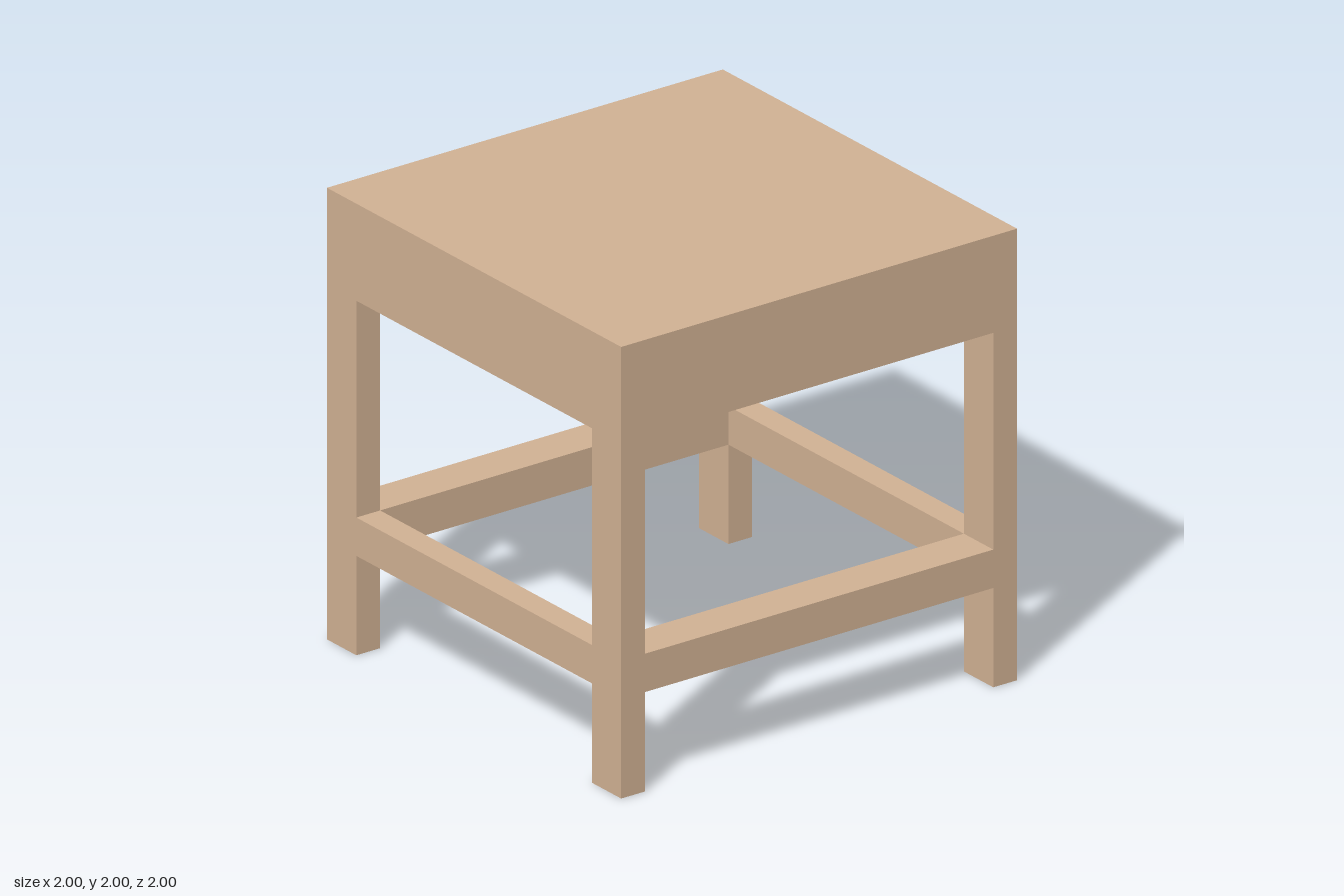
import * as THREE from 'three';

const LEG_X = 0.12, LEG_Z = 0.2;           // leg section
const SEAT_Y = 1.57, TOP_Y = 2;            // seat block underside and top
const RAIL_LOW = 0.44, RAIL_HIGH = 0.61;   // stretcher rails

export function createModel() {
  const stool = new THREE.Group();
  stool.name = 'stool';
  const wood = new THREE.MeshStandardMaterial({ color: 0xd2b294 });

  // box standing on y0 and reaching y1, centred on (x, z)
  const addBox = (name, w, d, y0, y1, x, z) => {
    const mesh = new THREE.Mesh(new THREE.BoxGeometry(w, y1 - y0, d), wood);
    mesh.name = name;
    mesh.position.set(x, (y0 + y1) / 2, z);
    stool.add(mesh);
  };

  // thick solid seat
  addBox('seat', 2, 2, SEAT_Y, TOP_Y, 0, 0);

  const legX = 1 - LEG_X / 2, legZ = 1 - LEG_Z / 2;

  // four corner legs
  for (const [side, sx] of [['Left', 1], ['Right', -1]])
    for (const [end, sz] of [['front', 1], ['back', -1]])
      addBox(`${end}${side}Leg`, LEG_X, LEG_Z, 0, SEAT_Y, sx * legX, sz * legZ);

  // rails between the legs, flush with their outer and inner faces
  for (const [end, sz] of [['front', 1], ['back', -1]])
    addBox(`${end}Rail`, 2 - 2 * LEG_X, LEG_Z, RAIL_LOW, RAIL_HIGH, 0, sz * legZ);
  for (const [side, sx] of [['left', 1], ['right', -1]])
    addBox(`${side}Rail`, LEG_X, 2 - 2 * LEG_Z, RAIL_LOW, RAIL_HIGH, sx * legX, 0);

  return stool;
}
